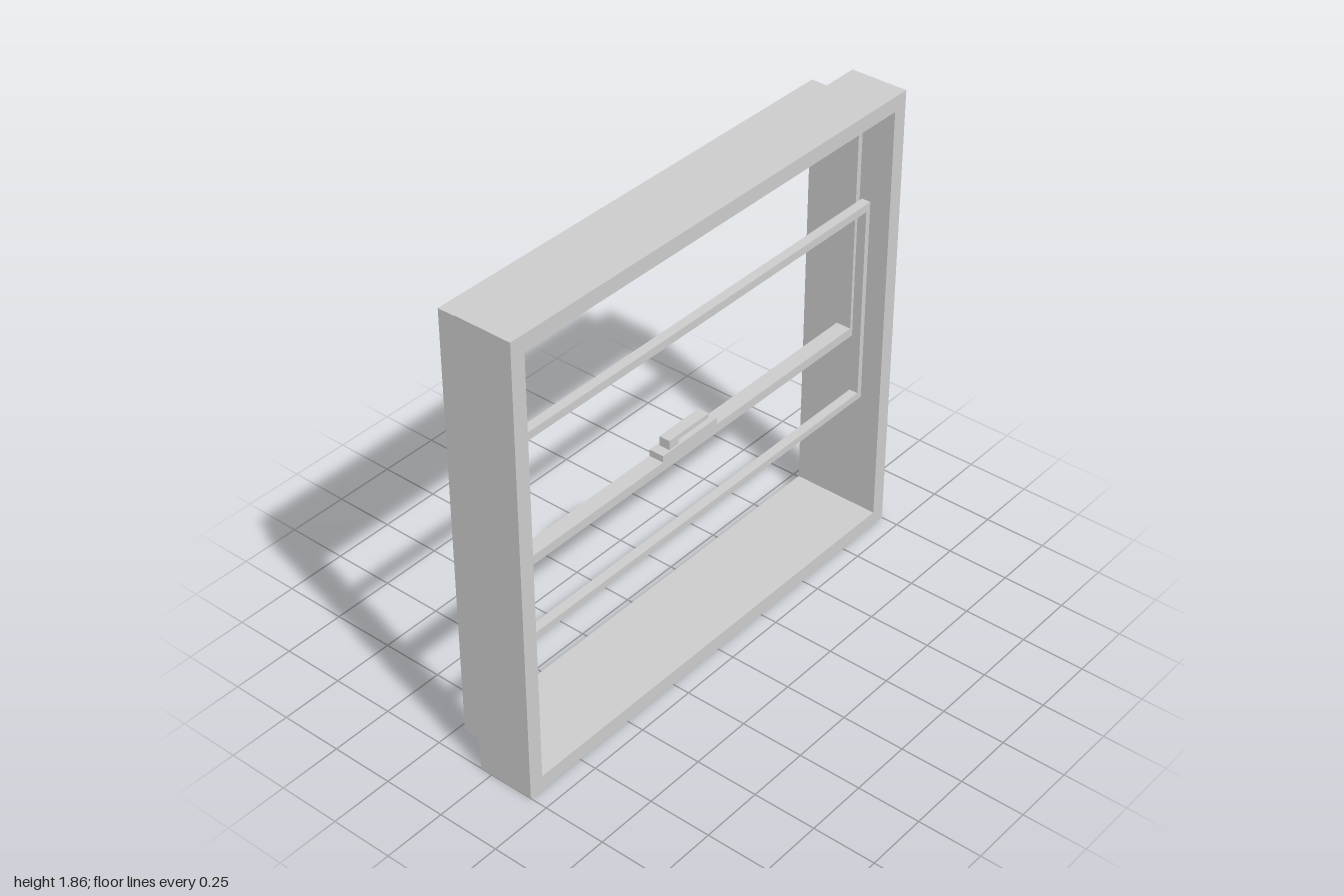
import * as THREE from 'three';

const grey = new THREE.MeshStandardMaterial({ color: 0xcccccc, flatShading: true });
const greyThin = new THREE.MeshStandardMaterial({ color: 0xcccccc, flatShading: true, side: THREE.DoubleSide });

const HALF = 1, HEIGHT = 1.864, INSET = 0.06;

// Box given by its min and max on each axis
function block(name, [x0, x1], [y0, y1], [z0, z1]) {
  const mesh = new THREE.Mesh(new THREE.BoxGeometry(x1 - x0, y1 - y0, z1 - z0), grey);
  mesh.position.set((x0 + x1) / 2, (y0 + y1) / 2, (z0 + z1) / 2);
  mesh.name = name;
  return mesh;
}

// Casing: an (inset, x) profile swept round the four corners of the window
function casing() {
  const profile = [[0, -0.05], [0, 0.18], [INSET, 0.18], [INSET, -0.18]];
  const corners = [[1, 0], [-1, 0], [-1, 1], [1, 1]];
  const point = (j, k) => {
    const [inset, x] = profile[j];
    const [side, top] = corners[k % 4];
    return [x, top ? HEIGHT - inset : inset, side * (HALF - inset)];
  };
  const positions = [];
  for (let j = 0; j < profile.length - 1; j++) {
    for (let k = 0; k < 4; k++) {
      const a = point(j, k), b = point(j, k + 1), c = point(j + 1, k + 1), d = point(j + 1, k);
      positions.push(...a, ...b, ...c, ...a, ...c, ...d);
    }
  }
  const geometry = new THREE.BufferGeometry();
  geometry.setAttribute('position', new THREE.Float32BufferAttribute(positions, 3));
  geometry.computeVertexNormals();
  const mesh = new THREE.Mesh(geometry, greyThin);
  mesh.name = 'casing';
  return mesh;
}

// Sliding sash: two rails across the full width with two stiles between them
function sash(name, xs, [y0, y1], bottomRail, topRail) {
  const group = new THREE.Group();
  group.name = name;
  const outer = HALF - INSET, inner = 0.918;
  group.add(
    block('bottomRail', xs, [y0, y0 + bottomRail], [-outer, outer]),
    block('topRail', xs, [y1 - topRail, y1], [-outer, outer])
  );
  const span = [y0 + bottomRail, y1 - topRail];
  group.add(
    block('stileNear', xs, span, [inner, outer]),
    block('stileFar', xs, span, [-outer, -inner])
  );
  return group;
}

export function createModel() {
  const model = new THREE.Group();
  model.name = 'sashWindow';
  model.add(casing());

  model.add(sash('lowerSash', [0.058, 0.095], [0.565, 1.411], 0.028, 0.032));
  model.add(sash('upperSash', [-0.013, 0.048], [0.825, 1.804], 0.037, 0.03));

  // Latch on the meeting rail
  const latch = new THREE.Group();
  latch.name = 'latch';
  latch.add(
    block('latchBase', [-0.013, 0.048], [0.862, 0.889], [-0.145, 0.145]),
    block('latchPost', [-0.003, 0.042], [0.889, 0.908], [0.057, 0.104]),
    block('latchHandle', [-0.003, 0.042], [0.908, 0.927], [-0.106, 0.104])
  );
  model.add(latch);
  return model;
}
